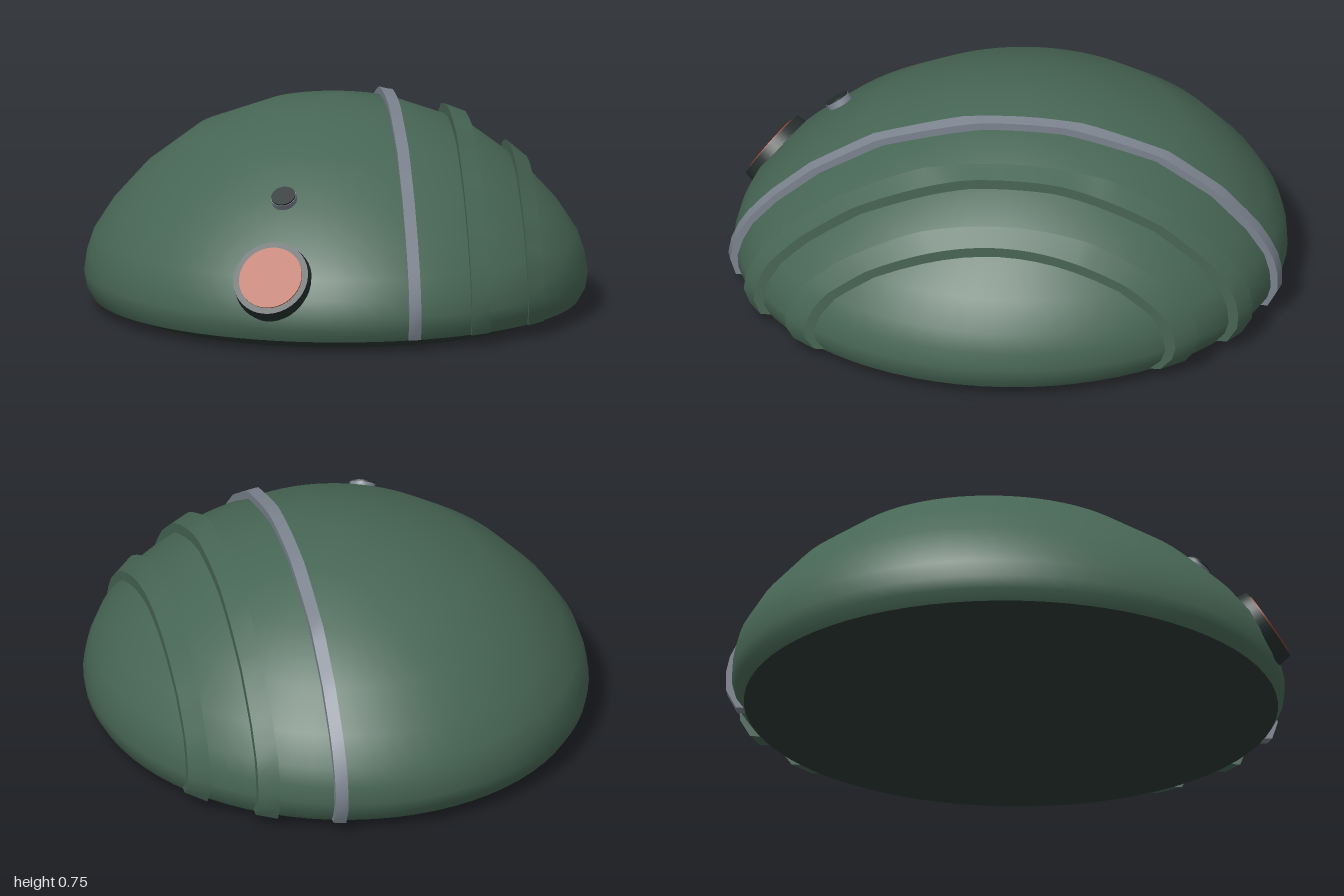
import * as THREE from 'three';
import { mergeVertices, toCreasedNormals } from 'three/addons/utils/BufferGeometryUtils.js';

const mat = (name, color) => new THREE.MeshStandardMaterial({ name, color });

// Shell profile: radius and height, from the rim to the crown
const PROFILE = [[0.87, 0.04], [0.893, 0.08], [0.9, 0.125], [0.89, 0.19], [0.866, 0.26],
  [0.8, 0.36], [0.68, 0.49], [0.5, 0.623], [0.26, 0.713], [0, 0.75]];
const STRETCH = 1.1;               // the shell is longer in z than in x
const lean = (y) => -0.11 * y;     // the crown leans backwards

function radiusAt(y) {
  for (let i = 1; i < PROFILE.length; i++) {
    const [r0, y0] = PROFILE[i - 1], [r1, y1] = PROFILE[i];
    if (y <= y1) return r0 + (r1 - r0) * (y - y0) / (y1 - y0);
  }
  return 0;
}
// Negative inside the shell, positive outside
const field = (x, y, z) => x * x + ((z - lean(y)) / STRETCH) ** 2 - (y > 0.75 ? 0 : radiusAt(y) ** 2);

function latheShape(points, segments) {
  let g = new THREE.LatheGeometry(points.map(([r, y]) => new THREE.Vector2(r, y)), segments);
  const p = g.attributes.position;
  for (let i = 0; i < p.count; i++) p.setZ(i, p.getZ(i) * STRETCH + lean(p.getY(i)));
  g.deleteAttribute('uv');
  g.deleteAttribute('normal');
  g = mergeVertices(g);
  g.computeVertexNormals();
  return g;
}

// Raised strip over the shell between two x planes
function ribGeometry(x0, x1, height) {
  const N = 48, Y0 = 0.045, pos = [], index = [];
  const reach = (x, t) => {
    let lo = 0, hi = 1.3;
    for (let k = 0; k < 30; k++) {
      const m = (lo + hi) / 2;
      if (field(x, Y0 + m * Math.sin(t), m * Math.cos(t)) < 0) lo = m; else hi = m;
    }
    return lo;
  };
  for (let i = 0; i <= N; i++) {
    const t = Math.PI * i / N, s = Math.max(0, Math.sin(t)), c = Math.cos(t);
    for (const [x, off] of [[x0, -0.03], [x0, height], [x1, height], [x1, -0.03]]) {
      const d = reach(x, t) + off;
      pos.push(x, Y0 + d * s, d * c);
    }
  }
  for (let i = 0; i < N; i++) for (let k = 0; k < 4; k++) {
    const a = i * 4 + k, b = i * 4 + (k + 1) % 4;
    index.push(a, b, b + 4, a, b + 4, a + 4);
  }
  const e = N * 4;
  index.push(0, 3, 2, 0, 2, 1, e, e + 1, e + 2, e, e + 2, e + 3);
  const g = new THREE.BufferGeometry();
  g.setAttribute('position', new THREE.Float32BufferAttribute(pos, 3));
  g.setIndex(index);
  return toCreasedNormals(g, 0.6);
}

// Group seated on the front of the shell, its z axis pointing outwards
function mount(name, x, y) {
  const z = lean(y) + STRETCH * Math.sqrt(radiusAt(y) ** 2 - x * x), e = 0.06;
  const n = new THREE.Vector3(
    field(x + e, y, z) - field(x - e, y, z),
    field(x, y + e, z) - field(x, y - e, z),
    field(x, y, z + e) - field(x, y, z - e)).normalize();
  const g = new THREE.Group();
  g.name = name;
  g.position.set(x, y, z);
  g.quaternion.setFromUnitVectors(new THREE.Vector3(0, 0, 1), n);
  return g;
}

export function createModel() {
  const model = new THREE.Group();
  model.name = 'domedShell';
  const green = mat('shellGreen', 0x476655);
  const dark = mat('baseDarkGreen', 0x2a3832);
  const grey = mat('bandGrey', 0x7b838e);
  const orange = mat('lensOrange', 0xaa4a28);
  const black = mat('rimBlack', 0x26302f);

  const add = (parent, name, geometry, material) => {
    const m = new THREE.Mesh(geometry, material);
    m.name = name;
    parent.add(m);
    return m;
  };
  const disc = (parent, name, r0, r1, top, depth, material) => {
    const m = add(parent, name, new THREE.CylinderGeometry(r1, r0, depth, 40), material);
    m.rotation.x = Math.PI / 2;
    m.position.z = top - depth / 2;
  };

  // Shell and chamfered base
  add(model, 'shell', latheShape(PROFILE, 72), green);
  add(model, 'base', toCreasedNormals(latheShape([[0, 0], [0.76, 0], [0.87, 0.04]], 72), 0.25), dark);

  // Grey band and two stepped ridges on the left side
  add(model, 'band', ribGeometry(0.178, 0.222, 0.028), grey);
  add(model, 'innerRidge', ribGeometry(0.41, 0.48, 0.037), green);
  add(model, 'outerRidge', ribGeometry(0.628, 0.692, 0.037), green);

  // Large round lens with a dark rim
  const lens = mount('lens', -0.305, 0.255);
  disc(lens, 'lensRim', 0.146, 0.138, 0.02, 0.06, black);
  disc(lens, 'lensGlass', 0.116, 0.116, 0.025, 0.01, orange);
  model.add(lens);

  // Small button above the lens
  const button = mount('button', -0.24, 0.5);
  disc(button, 'buttonCollar', 0.046, 0.046, 0.02, 0.05, grey);
  disc(button, 'buttonCap', 0.044, 0.044, 0.026, 0.01, black);
  model.add(button);

  return model;
}
